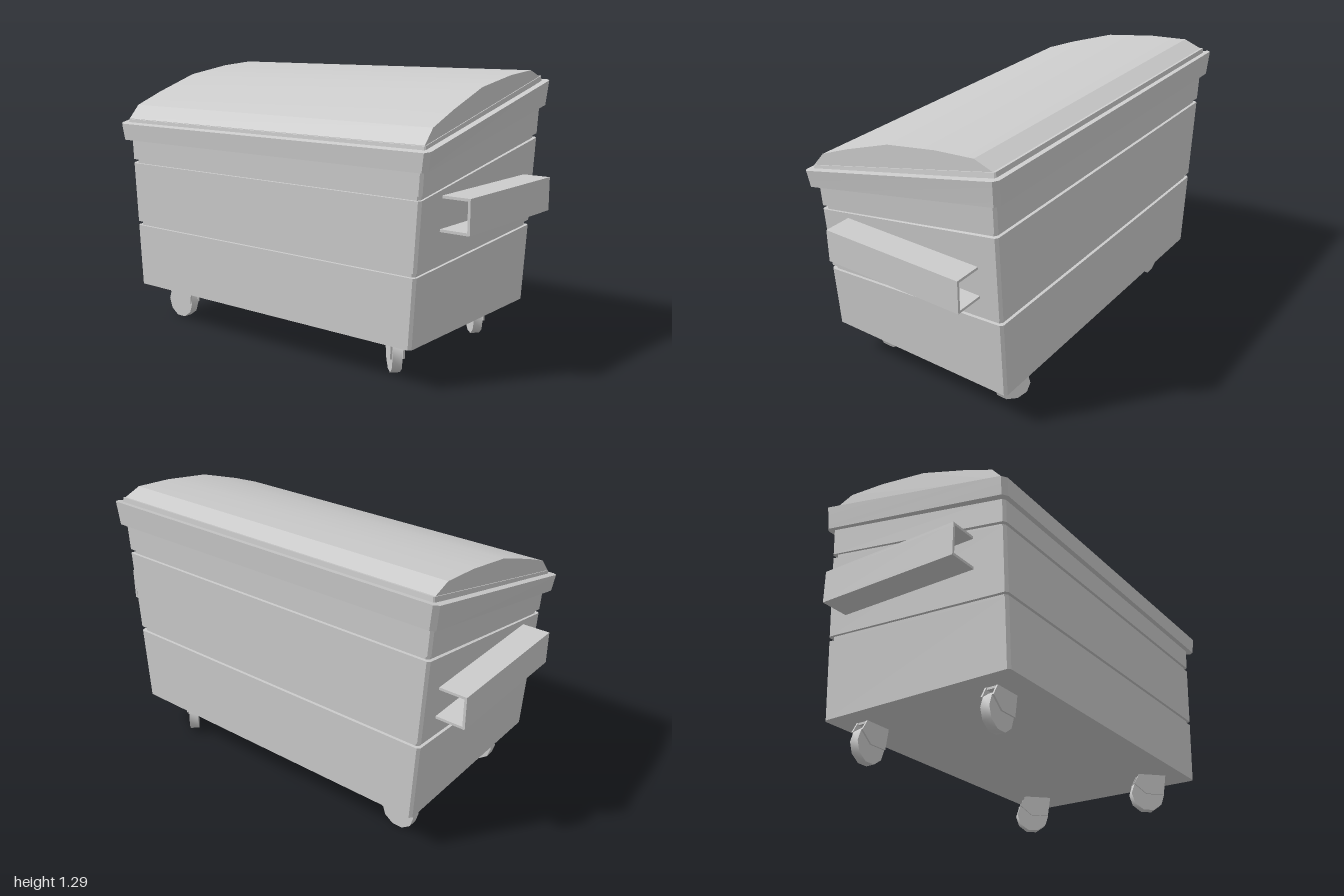
import * as THREE from 'three';
import { toCreasedNormals } from 'three/addons/utils/BufferGeometryUtils.js';

const grey = new THREE.MeshStandardMaterial({ color: 0xcccccc });

function add(parent, geometry, name) {
  const mesh = new THREE.Mesh(geometry, grey);
  mesh.name = name;
  parent.add(mesh);
  return mesh;
}

// Chamfered rectangle, tilted from height yf at the front to yb at the back
function ring({ yf, yb, w, d, c = 0.012, slope = 0 }) {
  const outline = [[-1, 1, c, 0], [1, 1, c, 0], [1, 1, 0, c], [1, -1, 0, c],
    [1, -1, c, 0], [-1, -1, c, 0], [-1, -1, 0, c], [-1, 1, 0, c]];
  return outline.map(([sx, sz, cx, cz]) => {
    const z = sz * (d - cz);
    const y = yb + (yf - yb) * (z + d) / (2 * d);
    return [sx * (w + slope * (y - 0.18) - cx), y, z];
  });
}

// Closed skin through a stack of rings, with hard edges
function loft(specs) {
  const rings = specs.map(ring);
  const n = 8;
  const index = [];
  for (let r = 0; r < rings.length - 1; r++) {
    for (let i = 0; i < n; i++) {
      const a = r * n + i, b = r * n + (i + 1) % n;
      index.push(a, b, b + n, a, b + n, a + n);
    }
  }
  const top = (rings.length - 1) * n;
  for (let i = 1; i < n - 1; i++) {
    index.push(0, i + 1, i, top, top + i, top + i + 1);
  }
  const g = new THREE.BufferGeometry();
  g.setAttribute('position', new THREE.Float32BufferAttribute(rings.flat(2), 3));
  g.setIndex(index);
  return toCreasedNormals(g, 0.2);
}

function extrude(points, depth) {
  const shape = new THREE.Shape(points.map(([x, y]) => new THREE.Vector2(x, y)));
  return new THREE.ExtrudeGeometry(shape, { depth, bevelEnabled: false })
    .translate(0, 0, -depth / 2);
}

// Swivel caster, trailing towards its own +x
function caster(name, x, z, turn) {
  const g = new THREE.Group();
  g.name = name;
  const plate = [[-0.07, 0.185], [-0.055, 0.08], [0.035, 0.08], [0.095, 0.13], [0.065, 0.185]];
  for (const side of [-1, 1]) {
    add(g, extrude(plate, 0.008), 'casterFork').position.z = side * 0.028;
  }
  add(g, new THREE.BoxGeometry(0.13, 0.015, 0.06), 'casterTop').position.set(0, 0.177, 0);
  const wheel = new THREE.CylinderGeometry(0.084, 0.084, 0.044, 10)
    .rotateX(Math.PI / 2).rotateZ(Math.PI / 10);
  add(g, toCreasedNormals(wheel, 0.8), 'casterWheel').position.set(0.025, 0.08, 0);
  g.position.set(x, 0, z);
  g.rotation.y = turn;
  return g;
}

export function createModel() {
  const model = new THREE.Group();
  model.name = 'wasteContainer';

  // Flared body with two sloping grooves
  const wall = (yf, yb, inset = 0) =>
    ({ yf, yb, w: 0.83 - inset, d: 0.49 - inset, slope: 0.061 });
  add(model, loft([
    wall(0.18, 0.18),
    wall(0.487, 0.553), wall(0.487, 0.553, 0.014),
    wall(0.507, 0.577, 0.014), wall(0.507, 0.577),
    wall(0.805, 0.975), wall(0.805, 0.975, 0.014),
    wall(0.825, 0.996, 0.014), wall(0.825, 0.996),
    wall(0.94, 1.14),
  ]), 'body');

  // Overhanging rim
  add(model, loft([
    { yf: 0.924, yb: 1.13, w: 0.908, d: 0.518, c: 0.02 },
    { yf: 1.005, yb: 1.245, w: 0.921, d: 0.523, c: 0.02 },
  ]), 'rim');

  // Lid: thin lip and curved dome
  add(model, loft([
    { yf: 1.0, yb: 1.24, w: 0.889, d: 0.495, c: 0.006 },
    { yf: 1.027, yb: 1.262, w: 0.886, d: 0.492, c: 0.006 },
  ]), 'lidLip');
  const dome = extrude([
    [0.488, 1.02], [0.488, 1.03], [0.43, 1.095], [0.28, 1.155], [0.05, 1.235],
    [-0.2, 1.275], [-0.39, 1.29], [-0.488, 1.255], [-0.488, 1.245],
  ], 1.764).rotateY(-Math.PI / 2);
  add(model, toCreasedNormals(dome, 0.37), 'lidDome');

  // Fork pockets: channels open at both ends, closed by the body wall
  for (const side of [-1, 1]) {
    const pocket = new THREE.Group();
    pocket.name = side > 0 ? 'leftForkPocket' : 'rightForkPocket';
    for (const y of [0.661, 0.803]) {
      add(pocket, new THREE.BoxGeometry(0.15, 0.012, 0.712), 'pocketPlate')
        .position.set(side * 0.925, y, -0.029);
    }
    add(pocket, new THREE.BoxGeometry(0.012, 0.154, 0.712), 'pocketOuterWall')
      .position.set(side * 0.994, 0.732, -0.029);
    model.add(pocket);
  }

  // Casters: each side swivelled its own way
  for (const [z, end] of [[0.333, 'front'], [-0.357, 'back']]) {
    model.add(caster(end + 'LeftCaster', 0.65, z, Math.PI * 0.75));
    model.add(caster(end + 'RightCaster', -0.663, z, Math.PI));
  }
  return model;
}
